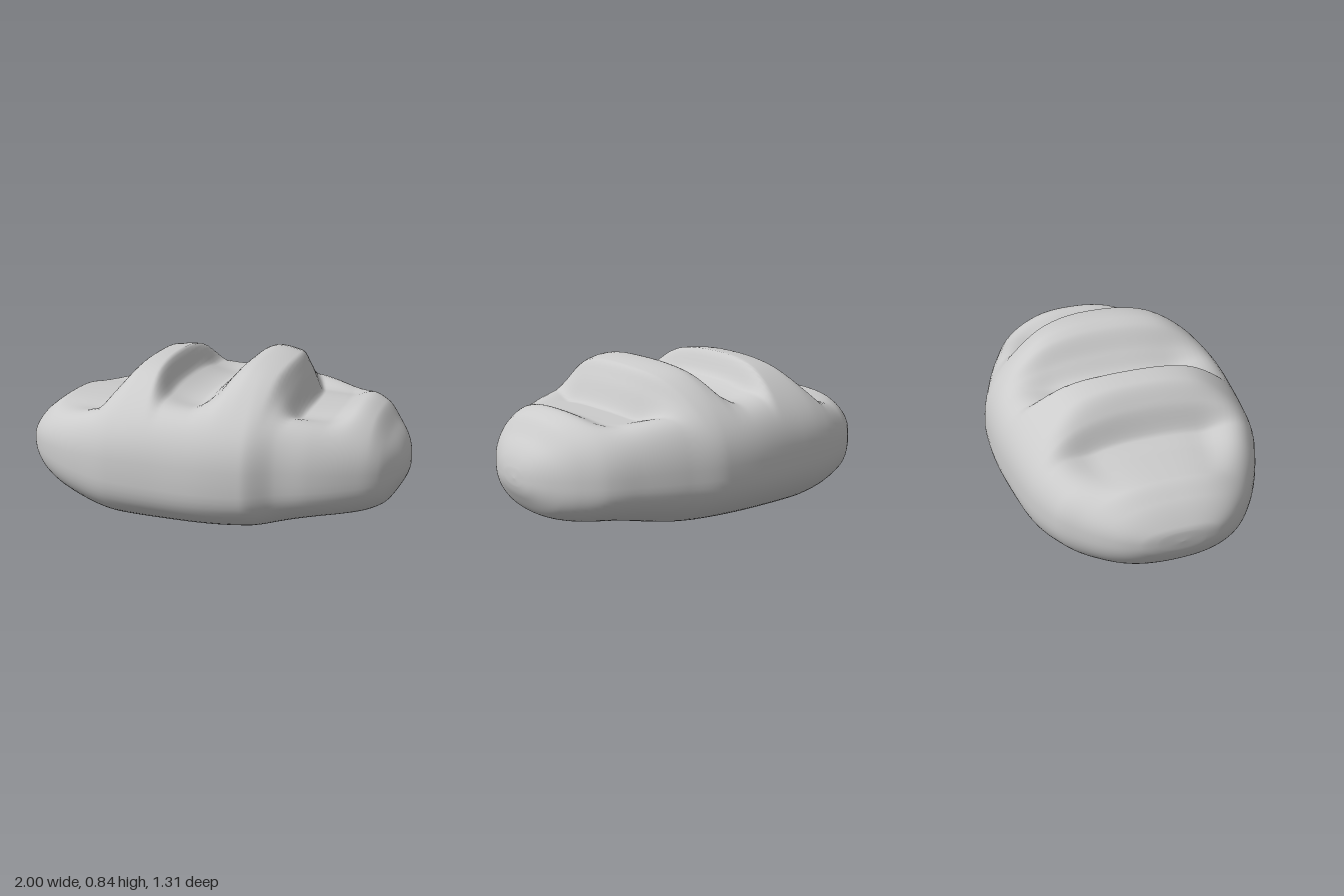
import * as THREE from 'three';

// Smooth monotone curve through [x, value] pairs
function profile(pts) {
  const slope = pts.slice(1).map((p, i) => (p[1] - pts[i][1]) / (p[0] - pts[i][0]));
  const tangent = pts.map((_, i) => {
    const a = slope[Math.max(i - 1, 0)], b = slope[Math.min(i, slope.length - 1)];
    return a * b <= 0 ? 0 : (2 * a * b) / (a + b);
  });
  return (x) => {
    let i = 0;
    while (i < pts.length - 2 && x > pts[i + 1][0]) i++;
    const h = pts[i + 1][0] - pts[i][0];
    const t = THREE.MathUtils.clamp((x - pts[i][0]) / h, 0, 1), s = 1 - t;
    return pts[i][1] * (1 + 2 * t) * s * s + tangent[i] * h * t * s * s
      + pts[i + 1][1] * t * t * (3 - 2 * t) - tangent[i + 1] * h * t * t * s;
  };
}

const MID = 0.33;

// Crest line: low shoulders at both ends, two humps and a valley between them
const crest = profile([[-1, MID], [-0.995, 0.38], [-0.98, 0.41], [-0.9, 0.5], [-0.8, 0.555], [-0.6, 0.555], [-0.49, 0.575],
  [-0.42, 0.71], [-0.33, 0.8], [-0.23, 0.81], [-0.16, 0.69], [0, 0.65], [0.1, 0.72], [0.2, 0.82], [0.27, 0.84],
  [0.4, 0.82], [0.45, 0.74], [0.52, 0.605], [0.66, 0.605], [0.77, 0.64], [0.85, 0.61], [0.92, 0.52], [0.97, 0.45],
  [0.995, 0.38], [1, MID]]);
// Unscored dome that the crest melts into near the front and back
const dome = profile([[-1, MID], [-0.995, 0.38], [-0.98, 0.41], [-0.9, 0.5], [-0.7, 0.61], [-0.4, 0.74], [0, 0.78],
  [0.4, 0.77], [0.7, 0.67], [0.85, 0.6], [0.92, 0.52], [0.97, 0.45], [0.995, 0.38], [1, MID]]);
// Underside
const base = profile([[-1, MID], [-0.995, 0.28], [-0.98, 0.24], [-0.93, 0.17], [-0.85, 0.11], [-0.72, 0.06], [-0.38, 0.003],
  [0, 0.01], [0.3, 0.025], [0.6, 0.08], [0.8, 0.105], [0.9, 0.14], [0.97, 0.23], [0.995, 0.29], [1, MID]]);
// Plan outline, front and back
const front = profile([[-1, 0], [-0.995, 0.12], [-0.98, 0.2], [-0.9, 0.33], [-0.8, 0.42], [-0.6, 0.54], [-0.4, 0.61],
  [-0.15, 0.637], [0.1, 0.655], [0.3, 0.64], [0.45, 0.565], [0.6, 0.52], [0.8, 0.42], [0.9, 0.34], [0.97, 0.2], [0.995, 0.1], [1, 0]]);
const back = profile([[-1, 0], [-0.995, 0.12], [-0.98, 0.2], [-0.92, 0.32], [-0.8, 0.45], [-0.7, 0.53], [-0.5, 0.61],
  [-0.3, 0.64], [0, 0.66], [0.2, 0.65], [0.4, 0.59], [0.6, 0.51], [0.75, 0.44], [0.85, 0.35], [0.93, 0.24], [0.98, 0.13], [0.995, 0.06], [1, 0]]);
// Sideways curve of the scores away from the middle
const bend = profile([[-1, 0], [-0.6, 0.3], [-0.45, 0.3], [-0.2, -0.15], [0, 0], [0.2, 0.3], [0.35, 0.5], [0.6, 0.4], [1, 0]]);

// One point of the cross-section at x, with angle a running around it
function surfacePoint(x, a) {
  const c = Math.cos(a), upper = Math.sin(a) >= 0;
  const u = Math.sign(c) * Math.pow(Math.abs(c), 0.85);
  const z = u * (c > 0 ? front(x) : back(x));
  const curve = bend(x) * z * z * (z < 0 ? 1 : 0.4);
  const melt = THREE.MathUtils.smoothstep(Math.abs(u), 0.45, 0.95);
  const edge = upper ? THREE.MathUtils.lerp(crest(x + curve), dome(x), melt) : base(x);
  // The underside is squarer along the front than along the back
  const n = upper ? 2.5 : 2.3 + (c > 0 ? 0.7 * (1 - x * x) : 0);
  const fall = Math.pow(Math.max(0, 1 - Math.pow(Math.abs(u), n)), 1 / n);
  return [x, MID + (edge - MID) * fall, z];
}

function loafGeometry(sections = 260, sides = 80) {
  const positions = [], index = [];
  for (let i = 0; i <= sections; i++) {
    // Sections crowd together at the rounded ends
    const x = -Math.cos((Math.PI * i) / sections);
    for (let j = 0; j < sides; j++) positions.push(...surfacePoint(x, (j / sides) * Math.PI * 2));
  }
  for (let i = 0; i < sections; i++) {
    for (let j = 0; j < sides; j++) {
      const k = (j + 1) % sides;
      const a = i * sides + j, b = i * sides + k, c = a + sides, d = b + sides;
      index.push(a, c, b, b, c, d);
    }
  }
  const geometry = new THREE.BufferGeometry();
  geometry.setAttribute('position', new THREE.Float32BufferAttribute(positions, 3));
  geometry.setIndex(index);
  geometry.computeVertexNormals();
  return geometry;
}

export function createModel() {
  const group = new THREE.Group();
  group.name = 'breadLoaf';
  const loaf = new THREE.Mesh(loafGeometry(), new THREE.MeshStandardMaterial({ color: 0xcccccc }));
  loaf.name = 'loaf';
  group.add(loaf);
  return group;
}
